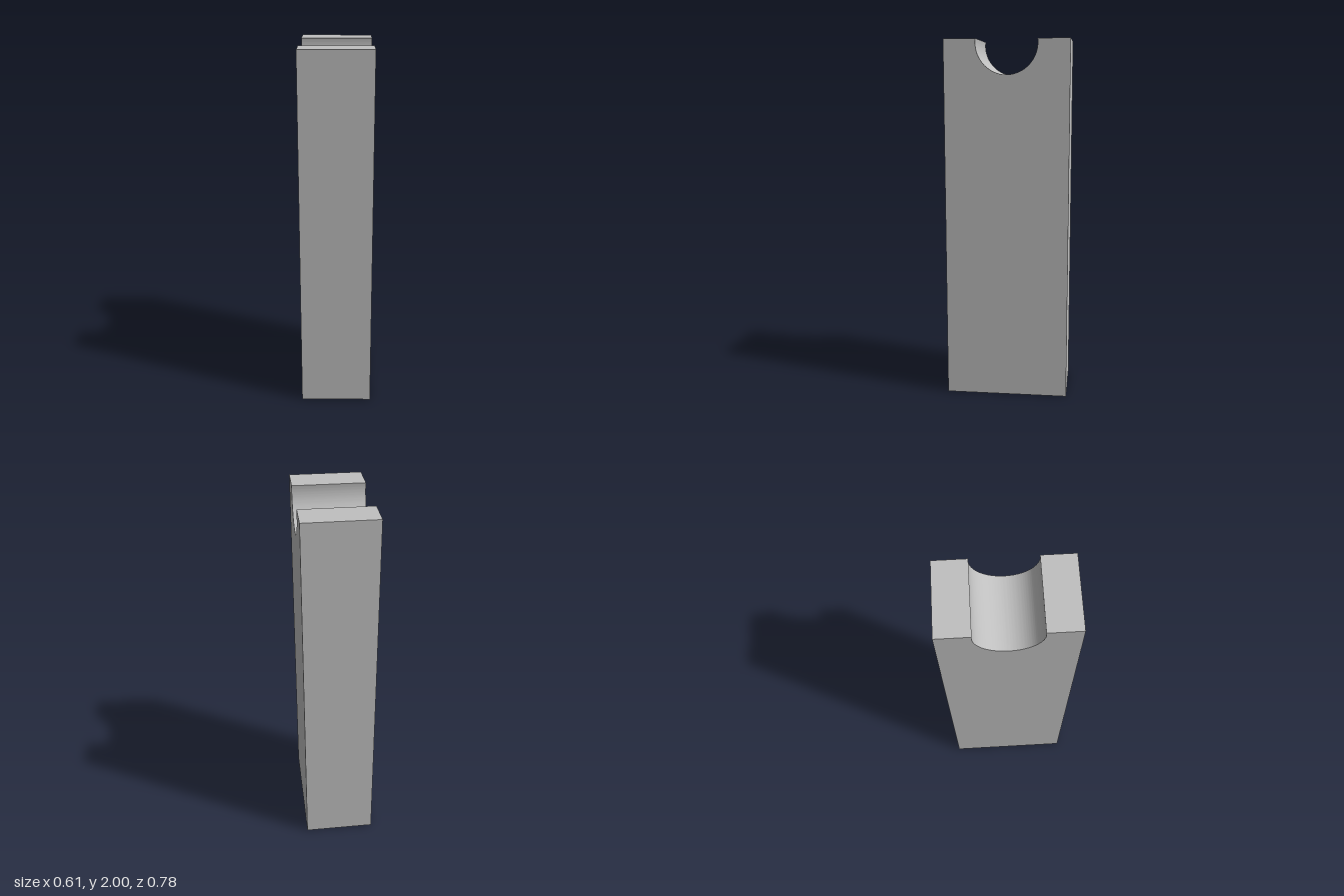
import * as THREE from 'three';
import { toCreasedNormals } from 'three/addons/utils/BufferGeometryUtils.js';

export function createModel() {
  const group = new THREE.Group();
  group.name = 'groovedBlock';

  const grey = new THREE.MeshStandardMaterial({ color: 0xc0c0c0 });
  grey.name = 'light grey';

  const halfLength = 0.3415, thickness = 0.393, height = 2;
  const radius = 0.168, centreY = 1.978;
  const lip = Math.asin((height - centreY) / radius);

  // Side profile: tall block with a round channel, just over half a circle, in its top
  const profile = new THREE.Shape();
  profile.moveTo(-halfLength, 0);
  profile.lineTo(halfLength, 0);
  profile.lineTo(halfLength, height);
  profile.lineTo(radius * Math.cos(lip), height);
  profile.absarc(0, centreY, radius, lip, Math.PI - lip, true);
  profile.lineTo(-halfLength, height);
  profile.closePath();

  const geometry = new THREE.ExtrudeGeometry(profile, {
    depth: thickness, bevelEnabled: false, curveSegments: 48,
  });
  geometry.translate(0, 0, -thickness / 2);

  const block = new THREE.Mesh(toCreasedNormals(geometry, 0.5), grey);
  block.name = 'block';
  // The block stands turned about the vertical axis
  block.rotation.y = Math.atan2(0.367, 0.14);
  group.add(block);

  return group;
}
